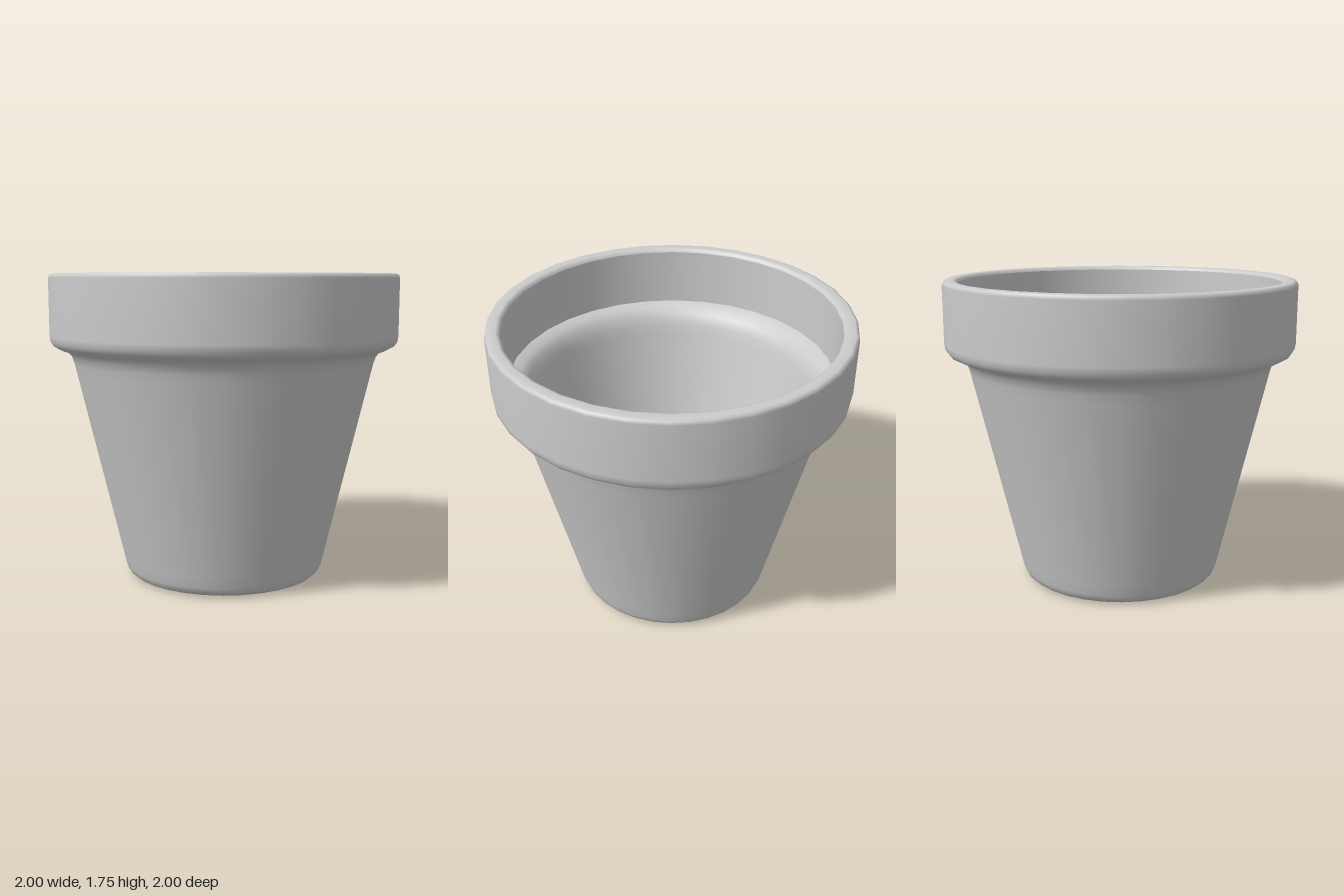
import * as THREE from 'three';

const SEGMENTS = 32;

export function createModel() {
  const pot = new THREE.Group();
  pot.name = 'flowerPot';
  const material = new THREE.MeshStandardMaterial({ color: 0xcccccc });

  // Each part is one smooth lathe; a sharp edge falls where two parts meet.
  const addLathe = (name, profile) => {
    const points = profile.map(([r, y]) => new THREE.Vector2(r, y));
    const mesh = new THREE.Mesh(new THREE.LatheGeometry(points, SEGMENTS), material);
    mesh.name = name;
    pot.add(mesh);
  };

  // Underside around the drain hole
  addLathe('underside', [[0.16, 0.012], [0.43, 0.012]]);

  // Rounded foot, tapered wall, flared collar and rolled rim
  addLathe('outerWall', [
    [0.43, 0.012], [0.46, 0.003], [0.52, 0], [0.553, 0.012], [0.573, 0.03], [0.585, 0.06],
    [0.6, 0.125], [0.85, 1.19],
    [0.864, 1.25], [0.878, 1.29], [0.902, 1.318], [0.945, 1.333],
    [0.978, 1.35], [0.995, 1.375], [1, 1.41],
    [1, 1.73], [0.994, 1.748], [0.98, 1.755], [0.94, 1.755], [0.925, 1.75], [0.917, 1.735],
  ]);

  // Inside of the rim
  addLathe('rimInside', [[0.917, 1.735], [0.91, 1.41]]);

  // Rounded ledge running into the tapered inside wall
  addLathe('innerWall', [
    [0.91, 1.41], [0.86, 1.395], [0.82, 1.36], [0.797, 1.3], [0.782, 1.24], [0.505, 0.07],
  ]);

  // Floor and drain hole
  addLathe('floor', [[0.505, 0.07], [0.16, 0.07]]);
  addLathe('drainHole', [[0.16, 0.07], [0.16, 0.012]]);

  return pot;
}
